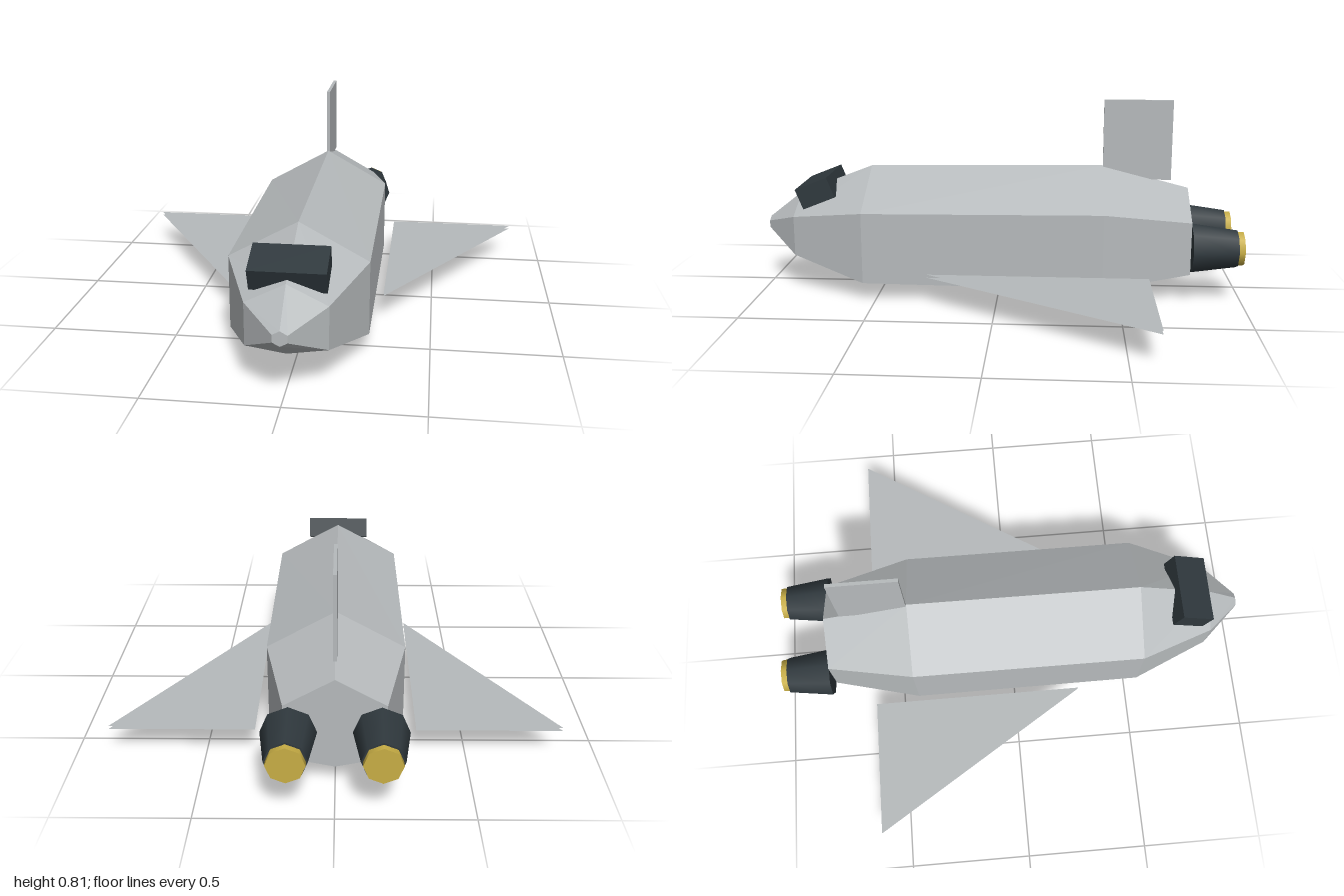
import * as THREE from 'three';

const mat = (name, color, side = THREE.FrontSide) => {
  const m = new THREE.MeshStandardMaterial({ color, side });
  m.name = name;
  return m;
};

// Faceted hull lofted through six-sided rings
function hullGeometry() {
  // z, half width, top, upper side, lower side, bottom
  const stations = [
    [1.0, 0.027, 0.285, 0.27, 0.242, 0.228],
    [0.86, 0.15, 0.395, 0.32, 0.155, 0.132],
    [0.55, 0.268, 0.515, 0.368, 0.075, 0.02],
    [-0.43, 0.268, 0.528, 0.377, 0.066, 0.008],
    [-0.79, 0.188, 0.436, 0.33, 0.112, 0.073],
  ];
  const rings = stations.map(([z, w, top, up, low, bottom]) => [
    [0, top, z], [-w, up, z], [-w, low, z], [0, bottom, z], [w, low, z], [w, up, z],
  ]);
  const pos = [];
  const tri = (a, b, c) => pos.push(...a, ...b, ...c);
  for (let s = 0; s < rings.length - 1; s++) {
    const f = rings[s], b = rings[s + 1];
    for (let i = 0; i < 6; i++) {
      const j = (i + 1) % 6;
      tri(f[i], b[i], b[j]);
      tri(f[i], b[j], f[j]);
    }
  }
  const nose = rings[0], tail = rings[rings.length - 1];
  for (let i = 1; i < 5; i++) {
    tri(nose[0], nose[i], nose[i + 1]);
    tri(tail[0], tail[i + 1], tail[i]);
  }
  const g = new THREE.BufferGeometry();
  g.setAttribute('position', new THREE.Float32BufferAttribute(pos, 3));
  g.computeVertexNormals();
  return g;
}

export function createModel() {
  const model = new THREE.Group();
  model.name = 'shuttle';
  const hullGrey = mat('hull grey', 0xb6babc);
  const wingGrey = mat('wing grey', 0xb6babc, THREE.DoubleSide);
  const dark = mat('dark slate', 0x2f383d);
  const gold = mat('gold', 0xc8ae45);

  const add = (name, geometry, material, x, y, z, parent = model) => {
    const mesh = new THREE.Mesh(geometry, material);
    mesh.name = name;
    mesh.position.set(x, y, z);
    parent.add(mesh);
    return mesh;
  };

  add('hull', hullGeometry(), hullGrey, 0, 0, 0);
  add('tailFin', new THREE.BoxGeometry(0.014, 0.335, 0.285), hullGrey, 0, 0.6375, -0.575);
  add('bellyHatch', new THREE.BoxGeometry(0.34, 0.016, 0.33), dark, 0, 0.008, -0.425);

  // Tilted cockpit window block
  const cockpit = add('cockpitWindow', new THREE.BoxGeometry(0.28, 0.09, 0.145), dark, 0, 0.419, 0.768);
  cockpit.rotation.x = 0.38;

  // Nozzles point backwards, one corner on the side axis
  const nozzle = (rBack, rFront, length) =>
    new THREE.CylinderGeometry(rBack, rFront, length, 8).rotateX(-Math.PI / 2);

  for (const side of [1, -1]) {
    const label = side > 0 ? 'left' : 'right';

    // Wing skins: an upper and a lower sheet with open edges
    const wing = new THREE.Group();
    wing.name = label + 'Wing';
    model.add(wing);
    const outline = new THREE.Shape([
      new THREE.Vector2(side * 0.307, 0.28),
      new THREE.Vector2(side * 0.307, -0.613),
      new THREE.Vector2(side * 0.865, -0.613),
    ]);
    const skin = new THREE.ShapeGeometry(outline).rotateX(Math.PI / 2);
    add('upperSkin', skin, wingGrey, 0, 0.13, 0, wing);
    add('lowerSkin', skin, wingGrey, 0, 0.117, 0, wing);

    // Engine with glowing exhaust disc
    const engine = new THREE.Group();
    engine.name = label + 'Engine';
    engine.position.set(side * 0.168, 0.221, 0);
    model.add(engine);
    add('engineBell', nozzle(0.078, 0.104, 0.185), dark, 0, 0, -0.8825, engine);
    add('exhaust', nozzle(0.071, 0.071, 0.03), gold, 0, 0, -0.985, engine);
  }
  return model;
}
